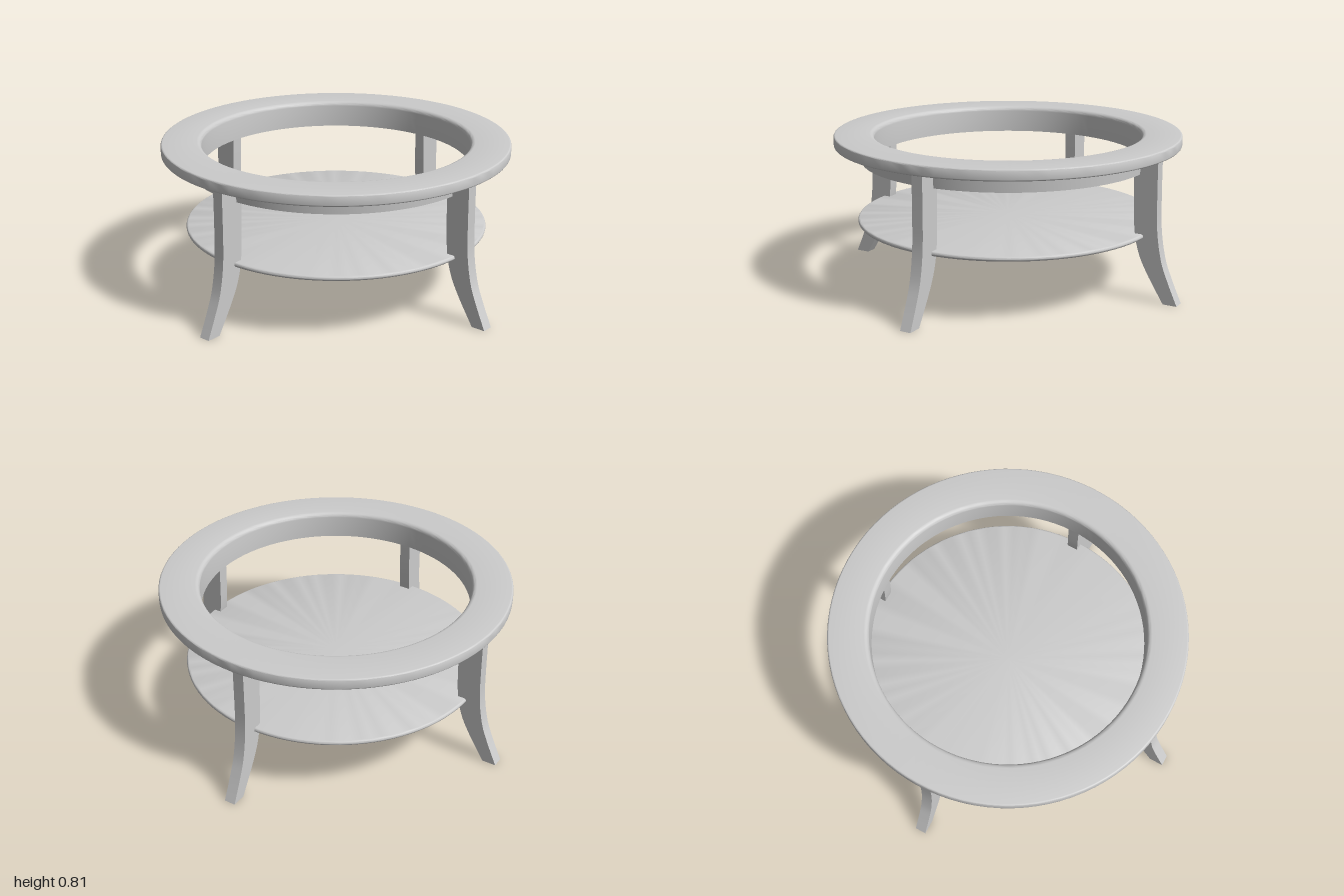
import * as THREE from 'three';
import { toCreasedNormals } from 'three/addons/utils/BufferGeometryUtils.js';

const material = new THREE.MeshStandardMaterial({ color: 0xcccccc, side: THREE.DoubleSide });

function addMesh(parent, name, geometry) {
  const mesh = new THREE.Mesh(toCreasedNormals(geometry, 0.6), material);
  mesh.name = name;
  parent.add(mesh);
  return mesh;
}

// Points along a rounded corner of radius r, angles in degrees
function arc(cx, cy, r, from, to, steps = 5) {
  return Array.from({ length: steps + 1 }, (_, i) => {
    const a = THREE.MathUtils.degToRad(from + (to - from) * i / steps);
    return new THREE.Vector2(cx + r * Math.cos(a), cy + r * Math.sin(a));
  });
}

// Square-section leg lofted through [height, inner radius, outer radius], open at both ends
function legGeometry() {
  const inner = new THREE.SplineCurve([[0.925, 0], [0.83, 0.155], [0.78, 0.265], [0.756, 0.39], [0.748, 0.58], [0.745, 0.757]]
    .map(p => new THREE.Vector2(...p))).getPoints(24);
  const outer = new THREE.SplineCurve([[1, 0], [0.945, 0.125], [0.907, 0.23], [0.882, 0.38], [0.876, 0.56], [0.875, 0.757]]
    .map(p => new THREE.Vector2(...p))).getPoints(24);
  const half = 0.03, positions = [], indices = [];
  inner.forEach((a, i) => {
    const b = outer[i];
    positions.push(a.x, a.y, half, b.x, b.y, half, b.x, b.y, -half, a.x, a.y, -half);
    if (i === 0) return;
    for (let k = 0; k < 4; k++) {
      const p = (i - 1) * 4 + k, q = (i - 1) * 4 + (k + 1) % 4;
      indices.push(p, q, q + 4, p, q + 4, p + 4);
    }
  });
  const geometry = new THREE.BufferGeometry();
  geometry.setAttribute('position', new THREE.Float32BufferAttribute(positions, 3));
  geometry.setIndex(indices);
  return geometry;
}

export function createModel() {
  const table = new THREE.Group();
  table.name = 'roundTable';

  // Ring top with a hollow apron below, open underneath
  const v = (x, y) => new THREE.Vector2(x, y);
  addMesh(table, 'topRingAndApron', new THREE.LatheGeometry([
    v(0.78, 0.665), v(0.785, 0.755),
    ...arc(0.914, 0.761, 0.008, -90, 0),
    ...arc(0.912, 0.8, 0.01, 0, 90),
    ...arc(0.735, 0.785, 0.025, 90, 180),
    v(0.71, 0.665),
  ], 96));

  // Lower shelf with a rounded rim
  addMesh(table, 'lowerShelf', new THREE.LatheGeometry([
    v(0, 0.33), ...arc(0.795, 0.3425, 0.0125, -90, 90, 10), v(0, 0.355),
  ], 96));

  // Four flared legs
  const leg = legGeometry();
  ['leftLeg', 'backLeg', 'rightLeg', 'frontLeg'].forEach((name, i) => {
    addMesh(table, name, leg).rotation.y = i * Math.PI / 2;
  });
  return table;
}
